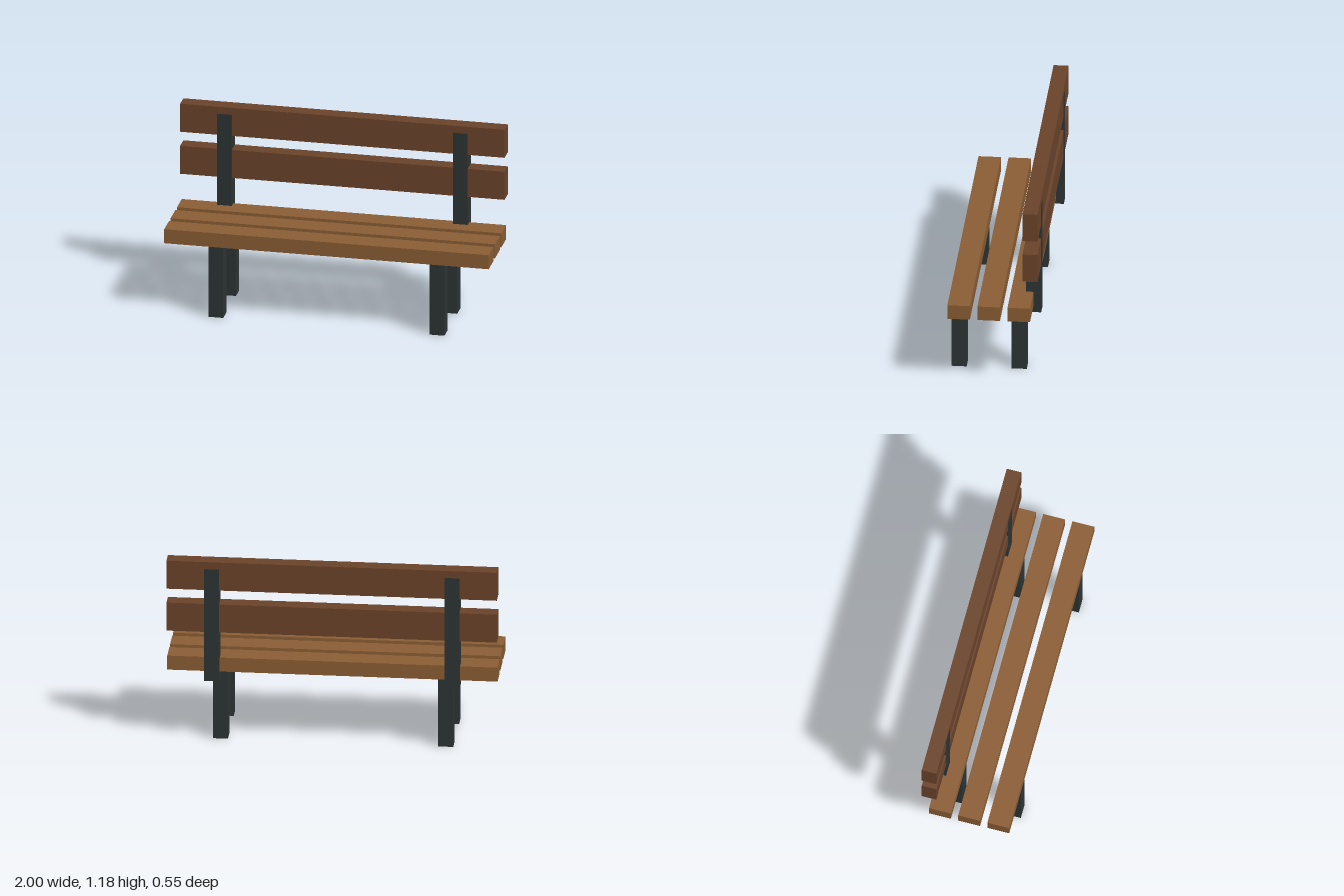
import * as THREE from 'three';

const U = 1 / 22; // grid module: the bench is 44 modules long

export function createModel() {
  const bench = new THREE.Group();
  bench.name = 'bench';

  const material = (name, color) => {
    const m = new THREE.MeshStandardMaterial({ color });
    m.name = name;
    return m;
  };
  const seatWood = material('seat wood', 0x8b5e34);
  const backWood = material('back wood', 0x6b442b);
  const iron = material('dark iron', 0x2d3534);

  // Box from size and centre, in modules
  const box = (name, mat, [w, h, d], [x, y, z]) => {
    const mesh = new THREE.Mesh(new THREE.BoxGeometry(w * U, h * U, d * U), mat);
    mesh.position.set(x * U, y * U, z * U);
    mesh.name = name;
    bench.add(mesh);
  };

  // Seat: three planks with gaps
  for (const z of [4.5, 0.5, -3.5]) box('seatSlat', seatWood, [44, 2, 3], [0, 11, z]);

  // Backrest: two wide boards
  for (const y of [18, 24]) box('backSlat', backWood, [44, 4, 2], [0, y, -5]);

  for (const side of [-1, 1]) {
    // Legs under the seat
    box('frontLeg', iron, [2, 10, 2], [side * 15, 5, 5]);
    box('rearLeg', iron, [2, 10, 2], [side * 15, 5, -3]);
    // Back post, a hair proud of the boards on both faces
    box('backPost', iron, [2, 16, 2.04], [side * 16, 17, -5]);
  }

  return bench;
}
